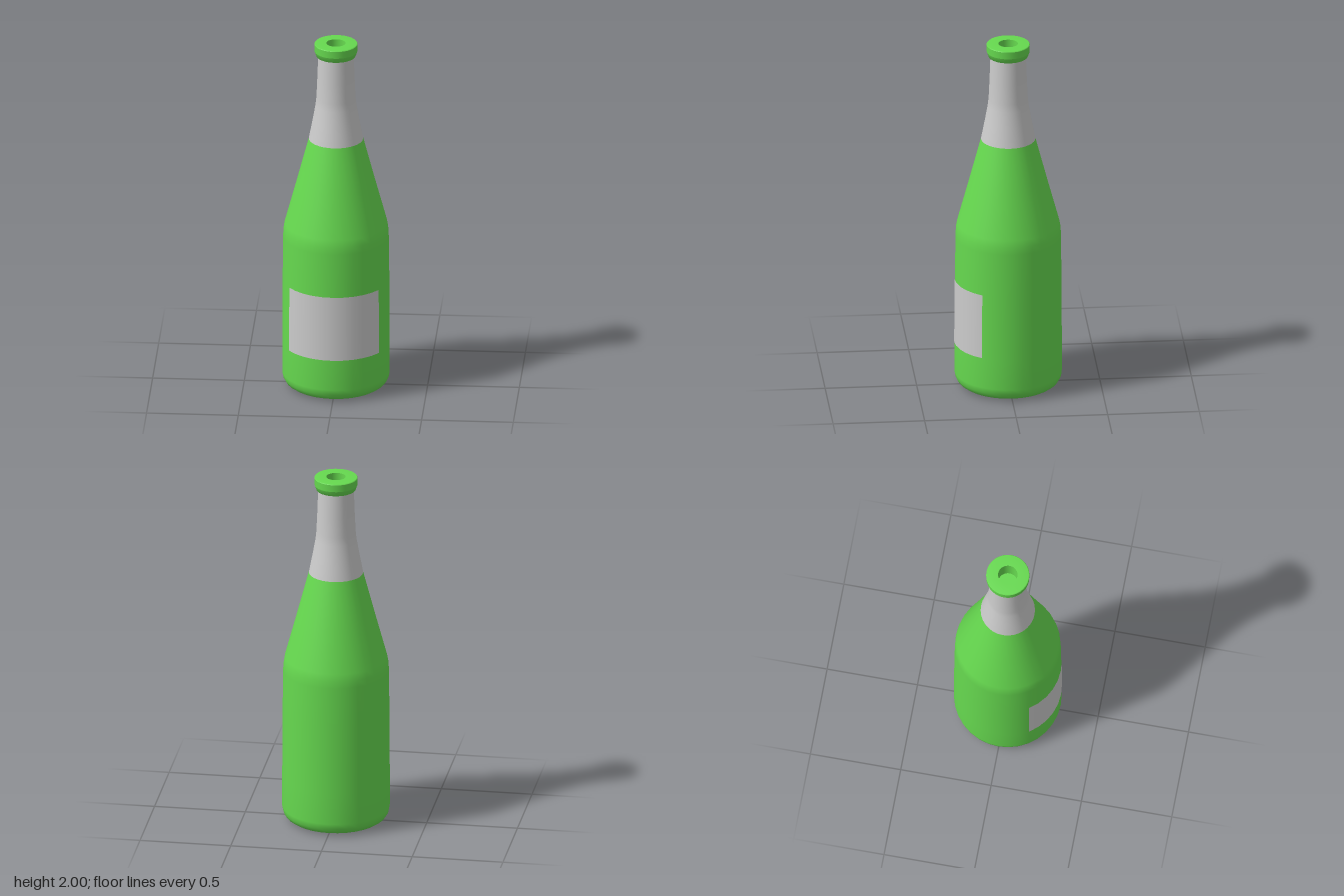
import * as THREE from 'three';

const SIDES = 32;
const green = new THREE.MeshStandardMaterial({ color: 0x66d94f });
const grey = new THREE.MeshStandardMaterial({ color: 0xcccccc });

// Turned part from [radius, height] points, listed from the bottom up
function turned(name, profile, material, sides = SIDES, start = 0, sweep = Math.PI * 2) {
  const points = profile.map(([r, y]) => new THREE.Vector2(r, y));
  const mesh = new THREE.Mesh(new THREE.LatheGeometry(points, sides, start, sweep), material);
  mesh.name = name;
  return mesh;
}

export function createModel() {
  const bottle = new THREE.Group();
  bottle.name = 'bottle';

  // Flat base
  bottle.add(turned('base', [[0, 0.005], [0.15, 0.005], [0.225, 0]], green));

  // Body: rounded foot, near-straight wall, soft shoulder and cone
  bottle.add(turned('body', [
    [0.225, 0], [0.252, 0.008], [0.274, 0.023], [0.287, 0.045], [0.293, 0.075],
    [0.293, 0.25], [0.291, 0.62], [0.288, 0.87], [0.286, 0.91], [0.279, 0.95],
    [0.214, 1.19], [0.148, 1.44],
  ], green));

  // Foil around the neck
  bottle.add(turned('neckFoil', [
    [0.148, 1.44], [0.127, 1.55], [0.112, 1.635], [0.107, 1.68], [0.102, 1.79], [0.097, 1.93],
  ], grey));

  // Lip: sloped underside, outer band, top ring and mouth
  const lip = new THREE.Group();
  lip.name = 'lip';
  lip.add(
    turned('lipCollar', [[0.096, 1.925], [0.107, 1.927], [0.117, 1.955]], green),
    turned('lipBand', [[0.117, 1.955], [0.118, 1.995]], green),
    turned('lipTop', [[0.118, 1.995], [0.114, 2], [0.053, 2]], green),
    turned('mouthWall', [[0.053, 2], [0.053, 1.88]], green),
    turned('mouthFloor', [[0.053, 1.88], [0, 1.88]], green),
  );
  bottle.add(lip);

  // Label: ten of the body's facets, centred on the front
  const step = (Math.PI * 2) / SIDES;
  bottle.add(turned('label', [[0.295, 0.25], [0.293, 0.62]], grey, 10, -5 * step, 10 * step));

  return bottle;
}
